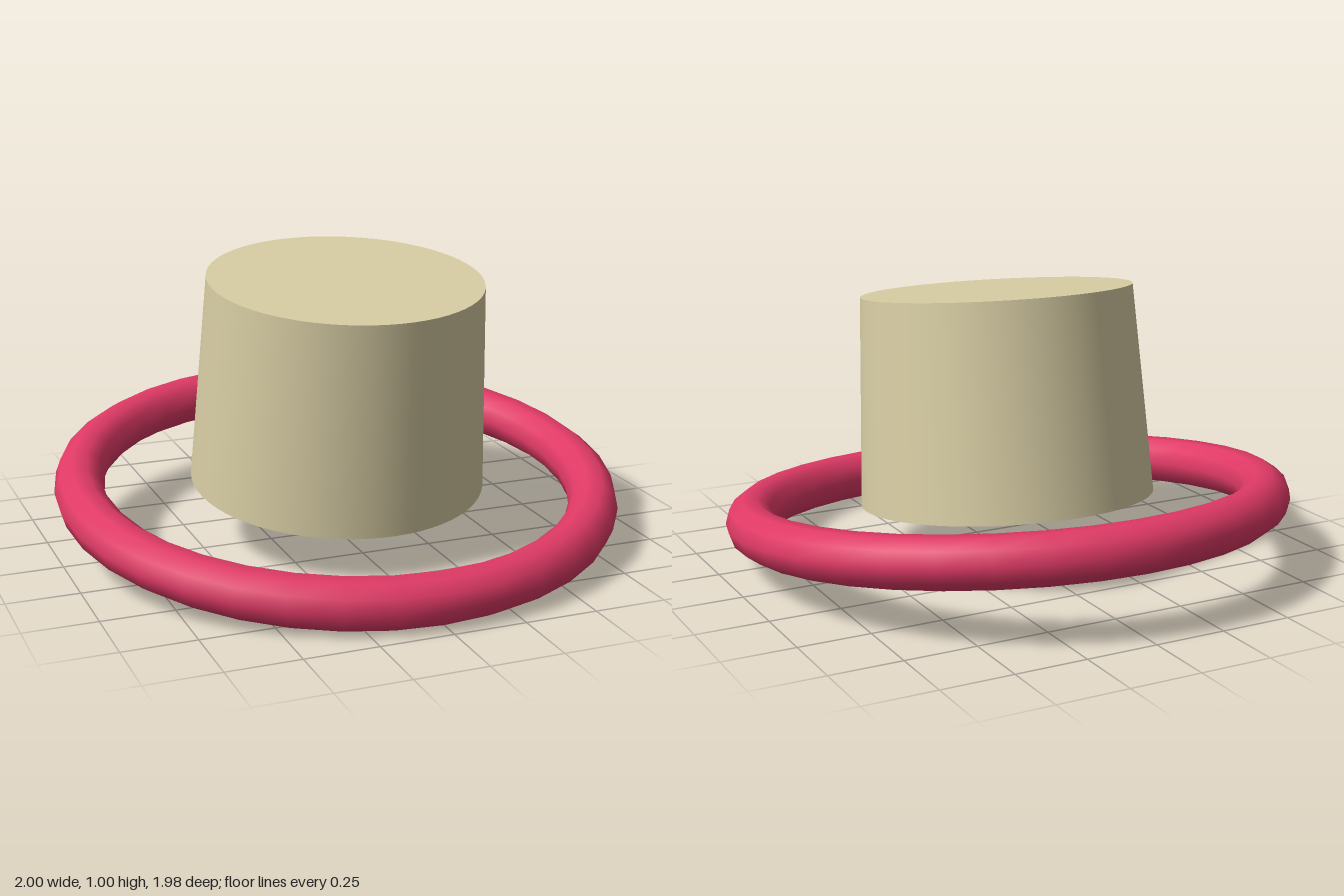
import * as THREE from 'three';

export function createModel() {
  const beige = new THREE.MeshStandardMaterial({ color: 0xd8cda4 });
  beige.name = 'beige';
  const crimson = new THREE.MeshStandardMaterial({ color: 0xe03a66 });
  crimson.name = 'crimson';

  const model = new THREE.Group();

  // Ring and crown share one forward tilt
  const hat = new THREE.Group();
  hat.name = 'tiltedHat';
  hat.position.y = 0.19;
  hat.rotation.x = 0.115;
  model.add(hat);

  // Brim ring, lying flat in the tilted frame
  const ring = new THREE.Mesh(new THREE.TorusGeometry(0.912, 0.087, 10, 36), crimson);
  ring.name = 'brimRing';
  ring.rotation.x = Math.PI / 2;
  hat.add(ring);

  // Tapered crown with closed ends
  const bottom = 0.025, height = 0.735;
  const crown = new THREE.Mesh(new THREE.CylinderGeometry(0.478, 0.52, height, 64), beige);
  crown.name = 'crown';
  crown.position.y = bottom + height / 2;
  hat.add(crown);

  return model;
}
